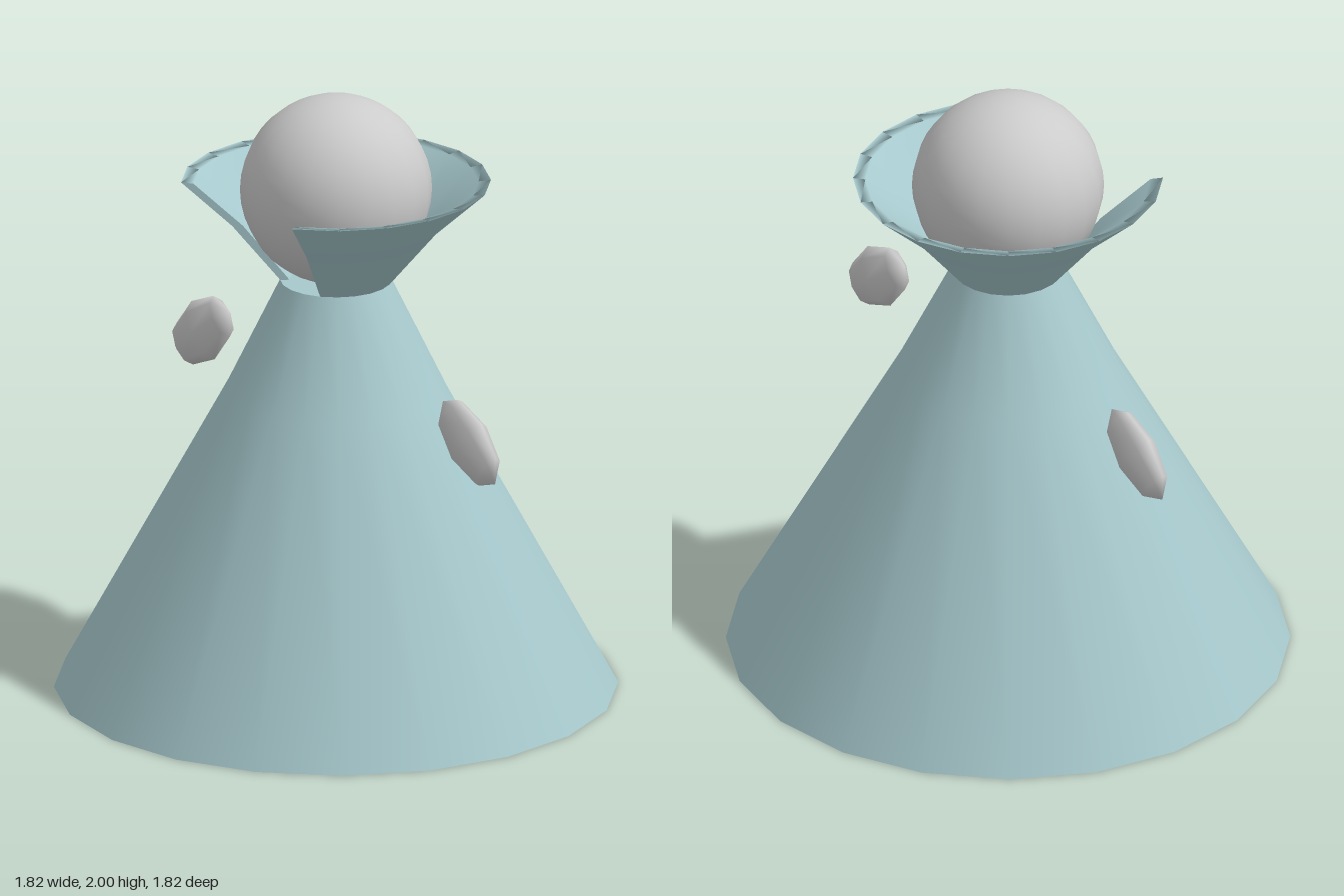
import * as THREE from 'three';

const SIDES = 20;
const cloth = new THREE.MeshStandardMaterial({ color: 0xa6c8cc, side: THREE.DoubleSide });
const grey = new THREE.MeshStandardMaterial({ color: 0xcccccc });
const points = (list) => list.map(([x, y]) => new THREE.Vector2(x, y));

function addMesh(parent, name, geometry, material) {
  const mesh = new THREE.Mesh(geometry, material);
  mesh.name = name;
  parent.add(mesh);
  return mesh;
}

// Conical gown, closed at the hem and the neck
function createGown() {
  const gown = new THREE.Group();
  gown.name = 'gown';
  const profile = points([[0.91, 0], [0.36, 1.01], [0.18, 1.38]]);
  addMesh(gown, 'skirt', new THREE.LatheGeometry(profile, SIDES), cloth);
  const hem = new THREE.CircleGeometry(0.91, SIDES).rotateX(Math.PI / 2);
  addMesh(gown, 'hemBase', hem, cloth);
  const neck = new THREE.CircleGeometry(0.18, SIDES).rotateX(-Math.PI / 2);
  neck.translate(0, 1.38, 0);
  addMesh(gown, 'neckCap', neck, cloth);
  return gown;
}

// Flared collar with thickness, open at the front
function createCollar() {
  const collar = new THREE.Group();
  collar.name = 'collar';
  const section = [[0.18, 1.38], [0.335, 1.565], [0.5, 1.715], [0.46, 1.71], [0.3, 1.565], [0.15, 1.38]];
  const start = (2 * Math.PI * 2) / SIDES;
  const sweep = 2 * Math.PI - 2 * start;
  addMesh(collar, 'collarCloth',
    new THREE.LatheGeometry(points(section), SIDES - 4, start, sweep), cloth);
  // End faces of the front opening
  for (const angle of [start, start + sweep]) {
    const end = new THREE.ShapeGeometry(new THREE.Shape(points(section)));
    end.rotateY(angle - Math.PI / 2);
    addMesh(collar, 'collarEnd', end, cloth);
  }
  return collar;
}

export function createModel() {
  const model = new THREE.Group();
  model.name = 'robedFigure';
  model.add(createGown(), createCollar());

  const head = addMesh(model, 'head', new THREE.SphereGeometry(0.31, SIDES, SIDES), grey);
  head.position.y = 1.69;

  // Flattened floating hands, long axis sloping down and outwards
  for (const side of [1, -1]) {
    const geometry = new THREE.SphereGeometry(1, 8, 4);
    geometry.scale(0.103, 0.173, 0.053);
    const hand = addMesh(model, side > 0 ? 'leftHand' : 'rightHand', geometry, grey);
    hand.position.set(side * 0.705, 1.015, 0);
    hand.rotation.z = side * THREE.MathUtils.degToRad(53);
  }
  return model;
}
